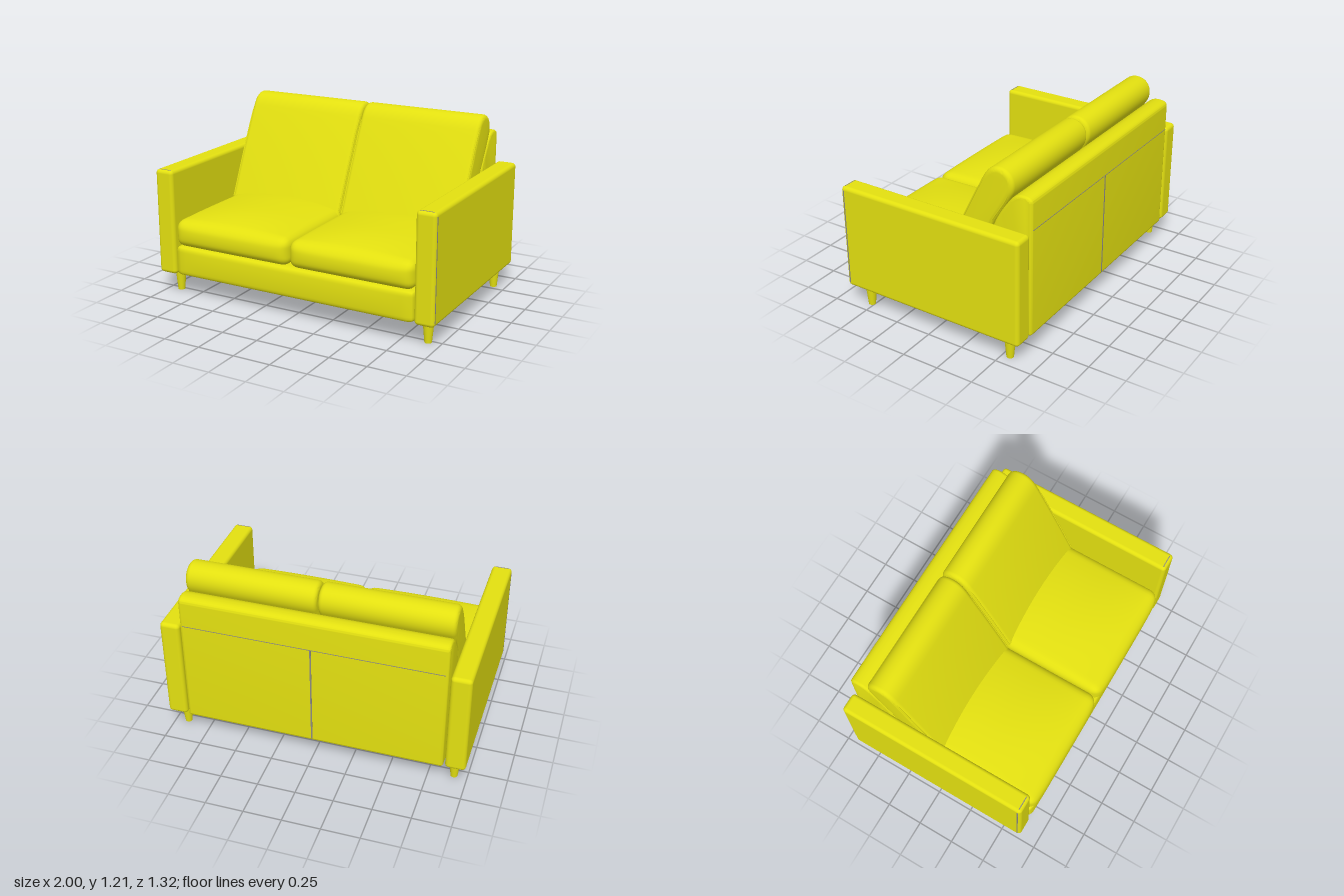
import * as THREE from 'three';
import { mergeVertices, toCreasedNormals } from 'three/addons/utils/BufferGeometryUtils.js';
import { RoundedBoxGeometry } from 'three/addons/geometries/RoundedBoxGeometry.js';

const fabric = new THREE.MeshStandardMaterial({ color: 0xe3e010 });
fabric.name = 'yellow fabric';
const seamGrey = new THREE.MeshStandardMaterial({ color: 0x8c8a80 });
seamGrey.name = 'grey seam';

function add(parent, name, geometry, material, x = 0, y = 0, z = 0) {
  const mesh = new THREE.Mesh(geometry, material);
  mesh.name = name;
  mesh.position.set(x, y, z);
  parent.add(mesh);
  return mesh;
}

// Rounded block with a swollen top (crown) and front (bulge)
function pillow(w, h, d, r, crown, bulge) {
  let geo = new THREE.BoxGeometry(w, h, d, 44, 16, 44);
  geo.deleteAttribute('uv');
  geo.deleteAttribute('normal');
  geo = mergeVertices(geo);
  const pos = geo.attributes.position;
  const p = new THREE.Vector3(), q = new THREE.Vector3();
  const inner = new THREE.Vector3(w / 2 - r, h / 2 - r, d / 2 - r);
  for (let i = 0; i < pos.count; i++) {
    p.fromBufferAttribute(pos, i);
    q.copy(p).clamp(inner.clone().negate(), inner);
    p.sub(q);
    if (p.lengthSq() > 0) p.setLength(r);
    p.add(q);
    const u = p.x / (w / 2), v = p.y / (h / 2), t = p.z / (d / 2);
    if (v > 0) p.y += crown * v * (1 - u * u) * (1 - Math.pow(Math.abs(t), 3));
    if (t > 0) p.z += bulge * t * (1 - v * v) * (1 - Math.pow(u, 8));
    pos.setXYZ(i, p.x, p.y, p.z);
  }
  geo.computeVertexNormals();
  return geo;
}

// Side profile given in (z, y), extruded along x and centred, with soft ends
function profileBlock(shape, width, bevel) {
  const geo = new THREE.ExtrudeGeometry(shape, {
    depth: width - 2 * bevel, bevelEnabled: true, bevelThickness: bevel,
    bevelSize: bevel, bevelOffset: -bevel, bevelSegments: 5, curveSegments: 14,
  });
  geo.translate(0, 0, -(width - 2 * bevel) / 2);
  geo.rotateY(Math.PI / 2);
  return toCreasedNormals(geo, 0.7);
}

// Leaning back cushion: the shape's x axis is minus z
function cushionShape() {
  const s = new THREE.Shape();
  s.moveTo(0.0, 0.45);
  s.lineTo(0.23, 0.45);
  s.lineTo(0.4, 0.855);
  s.lineTo(0.515, 1.045);
  s.bezierCurveTo(0.555, 1.12, 0.515, 1.206, 0.43, 1.206);
  s.bezierCurveTo(0.375, 1.206, 0.342, 1.165, 0.32, 1.125);
  s.quadraticCurveTo(0.19, 0.875, 0.0, 0.45);
  return s;
}

function backrestShape() {
  const s = new THREE.Shape();
  s.moveTo(0.3, 0.145);
  s.lineTo(0.64, 0.145);
  s.quadraticCurveTo(0.66, 0.145, 0.66, 0.165);
  s.lineTo(0.66, 1.035);
  s.bezierCurveTo(0.66, 1.06, 0.635, 1.072, 0.6, 1.072);
  s.bezierCurveTo(0.555, 1.072, 0.53, 1.05, 0.51, 1.025);
  s.quadraticCurveTo(0.45, 0.95, 0.405, 0.86);
  s.lineTo(0.3, 0.6);
  s.lineTo(0.3, 0.145);
  return s;
}

// Piping that follows a leaning cushion's rounded end
function pipingGeometry() {
  const pts = [[-0.04, 0.52], [-0.2, 0.86], [-0.345, 1.125], [-0.43, 1.18],
    [-0.505, 1.125], [-0.49, 1.04], [-0.385, 0.86]];
  const curve = new THREE.CatmullRomCurve3(pts.map(([z, y]) => new THREE.Vector3(0, y, z)));
  return new THREE.TubeGeometry(curve, 60, 0.006, 6);
}

export function createModel() {
  const sofa = new THREE.Group();
  sofa.name = 'sofa';

  // Upholstered base and thin panel underneath
  add(sofa, 'base', pillow(1.722, 0.205, 1.14, 0.03, 0, 0.008), fabric, 0, 0.2475, 0.068);
  add(sofa, 'undersidePanel', new THREE.BoxGeometry(1.6, 0.008, 1.12), fabric, 0, 0.145, 0);

  // Backrest frame with its rear seams
  add(sofa, 'backrest', profileBlock(backrestShape(), 1.715, 0.02), fabric);
  add(sofa, 'rearCrossSeam', new THREE.BoxGeometry(1.68, 0.004, 0.004), seamGrey, 0, 0.865, -0.66);
  add(sofa, 'rearCentreSeam', new THREE.BoxGeometry(0.01, 0.7, 0.004), seamGrey, 0, 0.513, -0.66);

  for (const side of [-1, 1]) {
    // Arm with front seams
    const arm = new THREE.Group();
    arm.name = side > 0 ? 'leftArm' : 'rightArm';
    sofa.add(arm);
    add(arm, 'armPanel', new RoundedBoxGeometry(0.132, 0.71, 1.3, 5, 0.025), fabric, side * 0.934, 0.5, -0.01);
    add(arm, 'armSideSeam', new THREE.BoxGeometry(0.003, 0.66, 0.008), seamGrey, side * 0.999, 0.5, 0.618);
    add(arm, 'armTopSeam', new THREE.BoxGeometry(0.09, 0.003, 0.006), seamGrey, side * 0.934, 0.854, 0.618);

    // Tapered legs
    for (const z of [0.52, -0.55]) {
      add(sofa, 'leg', new THREE.CylinderGeometry(0.037, 0.023, 0.15, 24), fabric, side * 0.915, 0.075, z);
    }

    // Small brackets under the base
    for (const z of [0.48, -0.5]) {
      add(sofa, 'bracket', new THREE.BoxGeometry(0.05, 0.008, 0.03), seamGrey, side * 0.74, 0.139, z);
    }

    // Seat cushion and back cushion
    const x = side * 0.431;
    add(sofa, 'seatCushion', pillow(0.856, 0.18, 1.0, 0.055, 0.05, 0.022), fabric, x, 0.437, 0.14);
    add(sofa, 'backCushion', profileBlock(cushionShape(), 0.856, 0.03), fabric, x);
    for (const end of [-1, 1]) {
      add(sofa, 'cushionPiping', pipingGeometry(), fabric, x + end * 0.42);
    }
  }
  return sofa;
}
